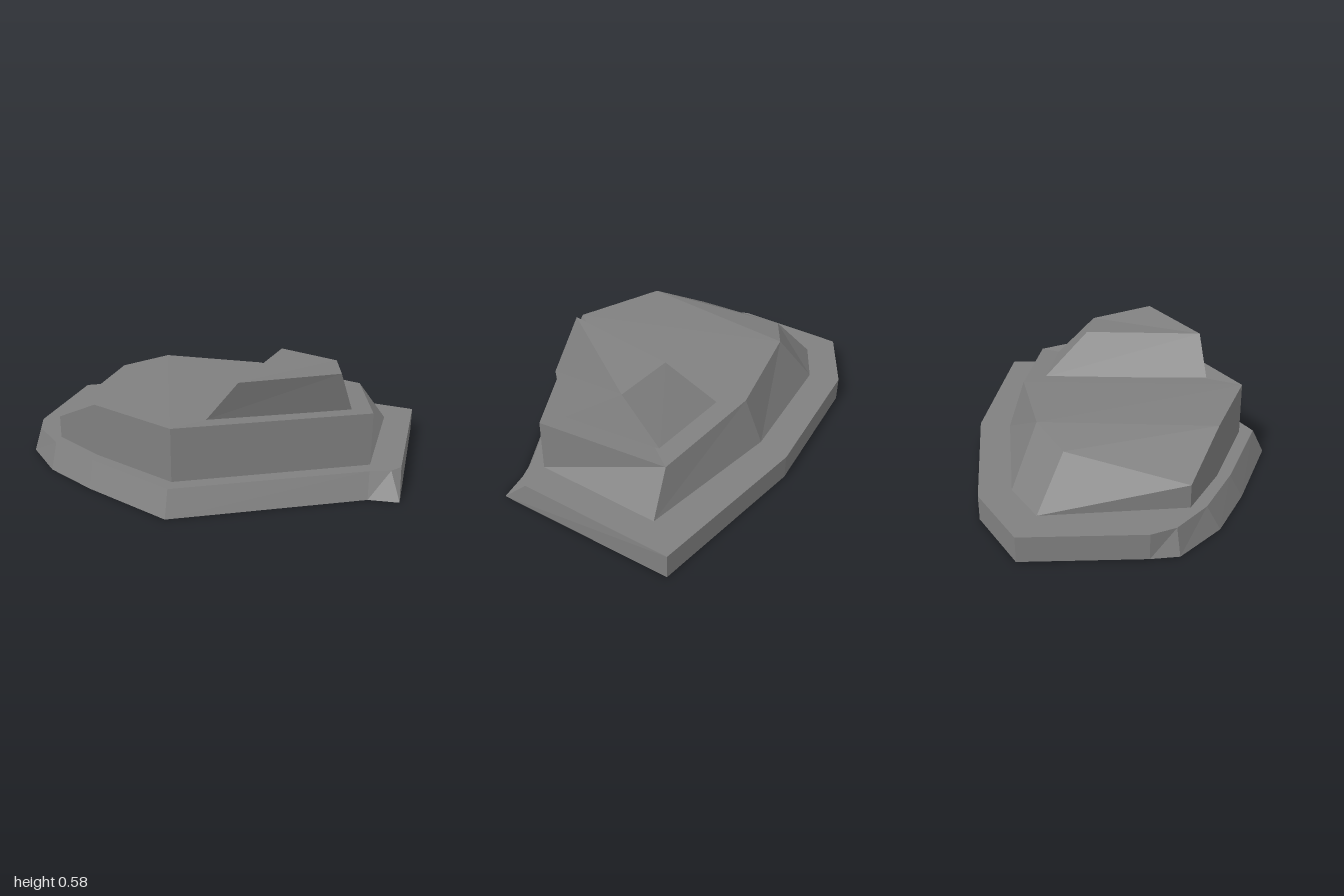
import * as THREE from 'three';

const grey = new THREE.MeshStandardMaterial({ color: 0x808080 });
grey.name = 'rockGrey';
grey.flatShading = true;
grey.side = THREE.DoubleSide;

// Flat-shaded mesh from triangles of [x, y, z] corners
function facetMesh(name, triangles) {
  const geometry = new THREE.BufferGeometry();
  geometry.setAttribute('position', new THREE.Float32BufferAttribute(triangles.flat(2), 3));
  geometry.computeVertexNormals();
  const mesh = new THREE.Mesh(geometry, grey);
  mesh.name = name;
  return mesh;
}

// Band of quads between two rings of equal length; collapsed triangles are skipped
function band(lower, upper) {
  const out = [];
  const same = (p, q) => p.every((v, i) => v === q[i]);
  const add = (a, b, c) => {
    if (!same(a, b) && !same(b, c) && !same(a, c)) out.push([a, b, c]);
  };
  lower.forEach((a, i) => {
    const j = (i + 1) % lower.length;
    add(a, lower[j], upper[j]);
    add(a, upper[j], upper[i]);
  });
  return out;
}

const atHeight = (y, ring) => ring.map(([x, z]) => [x, y, z]);

export function createModel() {
  const group = new THREE.Group();
  group.name = 'steppedRock';

  // Rings run left, front, right, back
  const foot = atHeight(0, [
    [-1, -0.013], [-1, 0.12], [-0.818, 0.34], [-0.556, 0.51], [-0.118, 0.74], [0.785, 0.37],
    [0.935, 0.37], [0.935, 0.37], [1, -0.553], [0.155, -0.745], [-0.59, -0.745], [-0.945, -0.585],
  ]);
  const rim = atHeight(0.125, [
    [-1, -0.013], [-0.963, 0.11], [-0.813, 0.275], [-0.556, 0.447], [-0.118, 0.68], [0.785, 0.313],
    [0.888, 0.287], [0.935, 0.238], [1, -0.553], [0.155, -0.745], [-0.59, -0.745], [-0.945, -0.585],
  ]);

  // Middle step: corners repeat so that each ring has twelve points
  const spread = (r) => [r[0], r[0], r[0], r[1], r[2], r[3], r[3], r[3], r[4], r[5], r[6], r[7]];
  const stepFoot = spread(atHeight(0.125, [
    [-0.813, 0.2], [-0.556, 0.38], [-0.118, 0.605], [0.785, 0.238],
    [0.845, -0.4], [0.107, -0.59], [-0.556, -0.59], [-0.79, -0.485],
  ]));
  const stepTop = spread([
    [-0.813, 0.24, 0.2], [-0.556, 0.393, 0.38], [-0.118, 0.393, 0.605], [0.785, 0.393, 0.238],
    [0.7, 0.322, -0.38], [0.13, 0.365, -0.505], [-0.4, 0.391, -0.458], [-0.63, 0.35, -0.35],
  ]);

  // Summit: leaning block on the left half
  const summitFoot = [
    [0.016, 0.385, 0.448], [0.68, 0.38, 0.174], [0.61, 0.325, -0.3], [0.203, 0.355, -0.39],
  ];
  const summitTop = [
    [0.166, 0.576, 0.438], [0.626, 0.584, 0.243], [0.583, 0.541, -0.087], [0.294, 0.567, -0.152],
  ];

  const pick = (ring, faces) => faces.map((f) => f.map((i) => ring[i]));
  group.add(
    facetMesh('baseWall', band(foot, rim)),
    facetMesh('baseLedge', band(rim, stepFoot)),
    facetMesh('stepWall', band(stepFoot, stepTop)),
    facetMesh('stepTop', pick(stepTop, [
      [4, 5, 8], [4, 8, 9], [4, 9, 10], [4, 10, 3], [3, 10, 11], [3, 11, 0],
    ])),
    facetMesh('summitWall', band(summitFoot, summitTop)),
    facetMesh('summitTop', pick(summitTop, [[0, 1, 2], [0, 2, 3]])),
  );
  return group;
}
